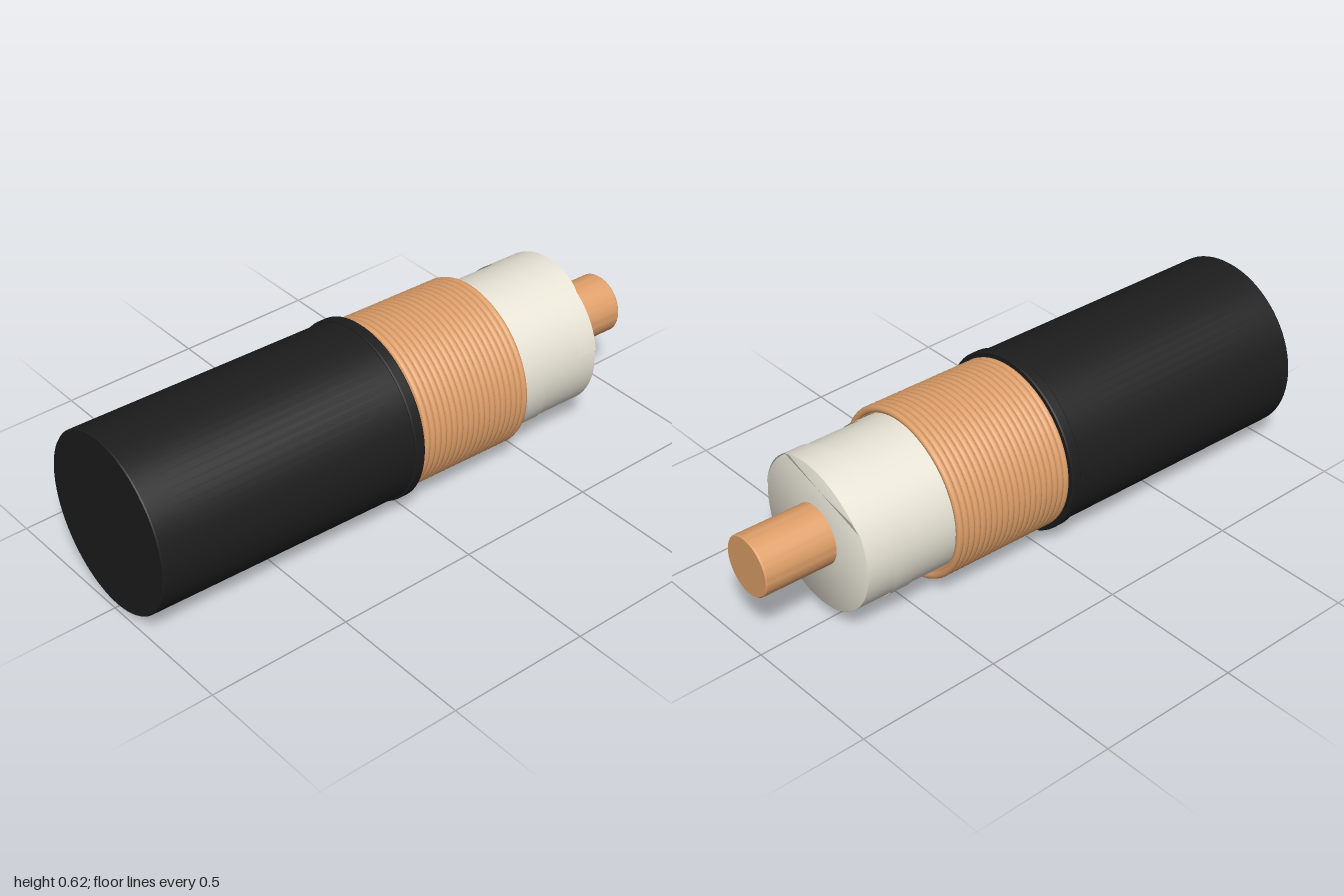
import * as THREE from 'three';
import { toCreasedNormals } from 'three/addons/utils/BufferGeometryUtils.js';

const rubber = new THREE.MeshStandardMaterial({ color: 0x1d1d1d });
const copper = new THREE.MeshStandardMaterial({ color: 0xe0a06a });
const cream = new THREE.MeshStandardMaterial({ color: 0xe8e4d6 });
const tapeMaterial = cream.clone();
tapeMaterial.side = THREE.DoubleSide;

// Solid of revolution along x; profile is [radius, x] pairs
function turned(name, profile, material) {
  const points = profile.map(([r, x]) => new THREE.Vector2(r, x));
  const geometry = toCreasedNormals(new THREE.LatheGeometry(points, 72).rotateZ(-Math.PI / 2), 0.6);
  const mesh = new THREE.Mesh(geometry, material);
  mesh.name = name;
  return mesh;
}

// Thin band on a cylinder: angle 0 is the top, growing toward the front
function band(name, radius, a0, a1, start, end) {
  const position = [], index = [], steps = 120;
  for (let i = 0; i <= steps; i++) {
    const a = a0 + (a1 - a0) * i / steps;
    for (const x of [start(a), end(a)]) position.push(x, radius * Math.cos(a), radius * Math.sin(a));
    if (i < steps) {
      const k = i * 2;
      index.push(k, k + 1, k + 2, k + 1, k + 3, k + 2);
    }
  }
  const geometry = new THREE.BufferGeometry();
  geometry.setAttribute('position', new THREE.Float32BufferAttribute(position, 3));
  geometry.setIndex(index);
  geometry.computeVertexNormals();
  const mesh = new THREE.Mesh(geometry, tapeMaterial);
  mesh.name = name;
  return mesh;
}

export function createModel() {
  const model = new THREE.Group();
  model.name = 'strippedCable';
  const cable = new THREE.Group();
  cable.name = 'cable';
  cable.position.set(0, 0.31, 0.012);
  cable.rotation.y = -0.034; // slight yaw
  model.add(cable);

  // Outer jacket with raised rim at the cut
  cable.add(turned('jacket', [[0, -0.99], [0.3, -0.99], [0.303, -0.986], [0.303, -0.04], [0, -0.04]], rubber));
  cable.add(turned('jacketRim', [
    [0.29, -0.058], [0.306, -0.058], [0.31, -0.054], [0.31, -0.024], [0.306, -0.02], [0.25, -0.02],
  ], rubber));

  // Shield: inner sleeve wound with rings of wire
  const shield = new THREE.Group();
  shield.name = 'shield';
  shield.add(turned('shieldSleeve', [[0.266, -0.03], [0.279, -0.03], [0.279, 0.41], [0.266, 0.41], [0.266, -0.03]], copper));
  const rings = 20, pitch = 0.0222;
  const ringGeometry = new THREE.TorusGeometry(0.28, 0.0125, 10, 72).rotateY(Math.PI / 2);
  for (let i = 0; i < rings; i++) {
    const ring = new THREE.Mesh(ringGeometry, copper);
    ring.name = 'shieldWire';
    ring.position.x = -0.014 + i * pitch;
    shield.add(ring);
  }
  cable.add(shield);

  // Insulation and central conductor
  cable.add(turned('insulation', [[0, -0.02], [0.26, -0.02], [0.26, 0.738], [0.257, 0.74], [0, 0.74]], cream));
  cable.add(turned('conductor', [[0, 0.7], [0.103, 0.7], [0.103, 0.99], [0.099, 0.995], [0, 0.995]], copper));

  // Spiral tape around the insulation
  const turn = Math.PI * 2;
  const edge = (a) => Math.min(0.74, 0.45 + 0.27 * a / turn);
  cable.add(band('tape', 0.2635, -0.5, turn + 1.4, (a) => Math.min(0.74, edge(a) - 0.075), edge));

  // Loose tape end standing proud of the insulation, with its two thin end folds
  const back = -1.07, front = 0.6;
  cable.add(band('tapeEnd', 0.263, back, front, () => 0.7,
    (a) => 0.74 + 0.016 * Math.sqrt(Math.max(0, Math.sin(Math.PI * (a - back) / (front - back))))));
  const fold = new THREE.BufferGeometry();
  fold.setAttribute('position', new THREE.Float32BufferAttribute([
    0.742, 0.222, 0.145, 0.75, 0.238, 0.108, 0.75, 0.19, -0.037,
    0.742, 0.125, -0.228, 0.75, 0.16, -0.205, 0.75, 0.19, -0.037,
  ], 3));
  fold.computeVertexNormals();
  const foldMesh = new THREE.Mesh(fold, tapeMaterial);
  foldMesh.name = 'tapeFold';
  cable.add(foldMesh);

  return model;
}
